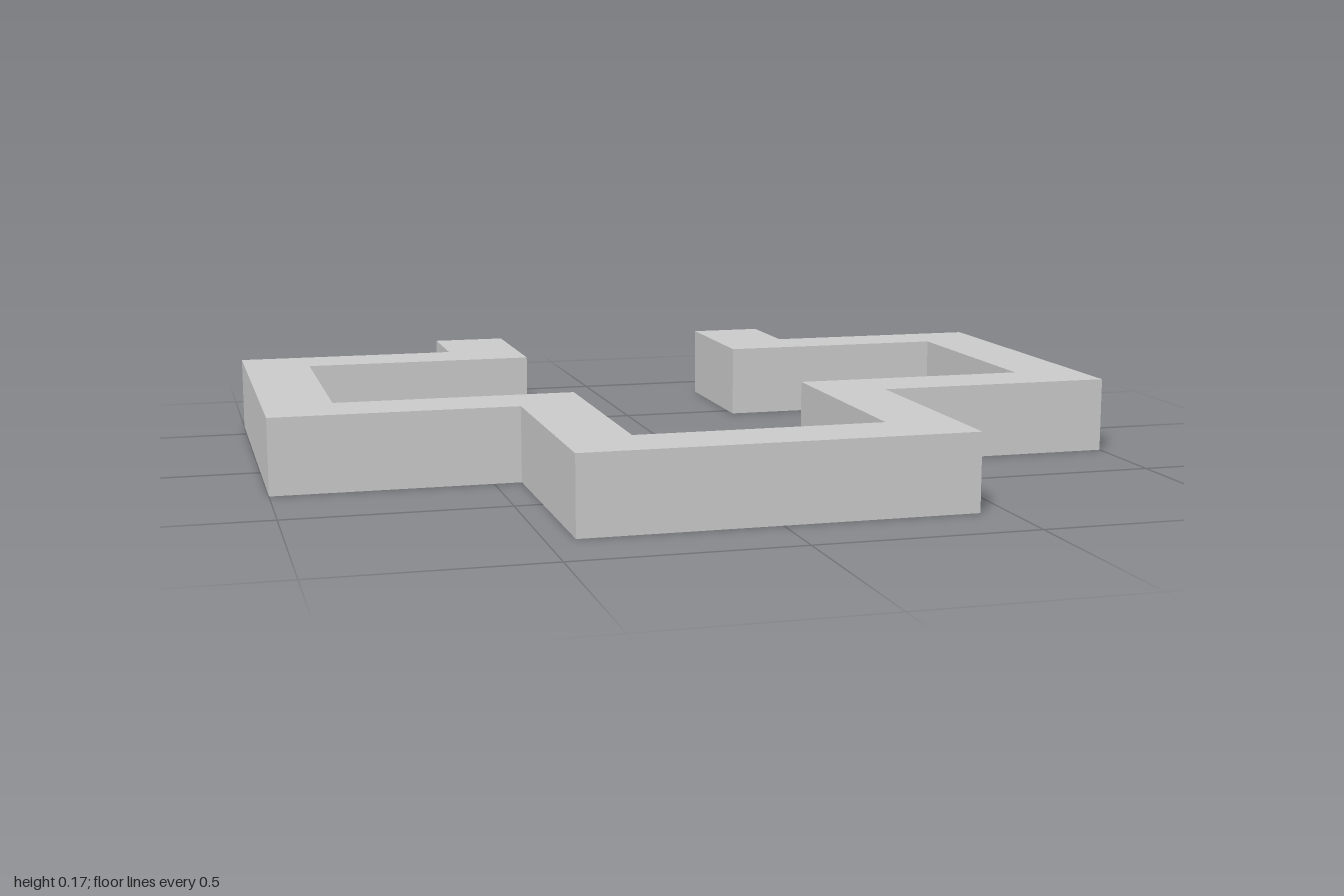
import * as THREE from 'three';

const HEIGHT = 0.175;

export function createModel() {
  const group = new THREE.Group();
  group.name = 'wallOutline';
  const material = new THREE.MeshStandardMaterial({ color: 0xcccccc, flatShading: true });

  // Left half of the plan as [x, z]: outer face from front to back, then inner face
  const outer = [[0.437, 0.827], [0.437, 0.265], [1, 0.265], [1, -0.607], [0.461, -0.607], [0.461, -0.827], [0.281, -0.827]];
  const inner = [[0.281, -0.457], [0.841, -0.457], [0.841, 0.11], [0.281, 0.11], [0.281, 0.669]];

  // Mirror into one closed outline, open at the back
  const mirror = (pts) => pts.map(([x, z]) => [-x, z]).reverse();
  const plan = [...outer, ...inner, ...mirror(inner), ...mirror(outer)];
  const shape = new THREE.Shape(plan.map(([x, z]) => new THREE.Vector2(x, -z)));

  // Raise the outline into a wall of even height
  const geometry = new THREE.ExtrudeGeometry(shape, { depth: HEIGHT, bevelEnabled: false });
  geometry.rotateX(-Math.PI / 2);
  const wall = new THREE.Mesh(geometry, material);
  wall.name = 'wall';
  group.add(wall);
  return group;
}
